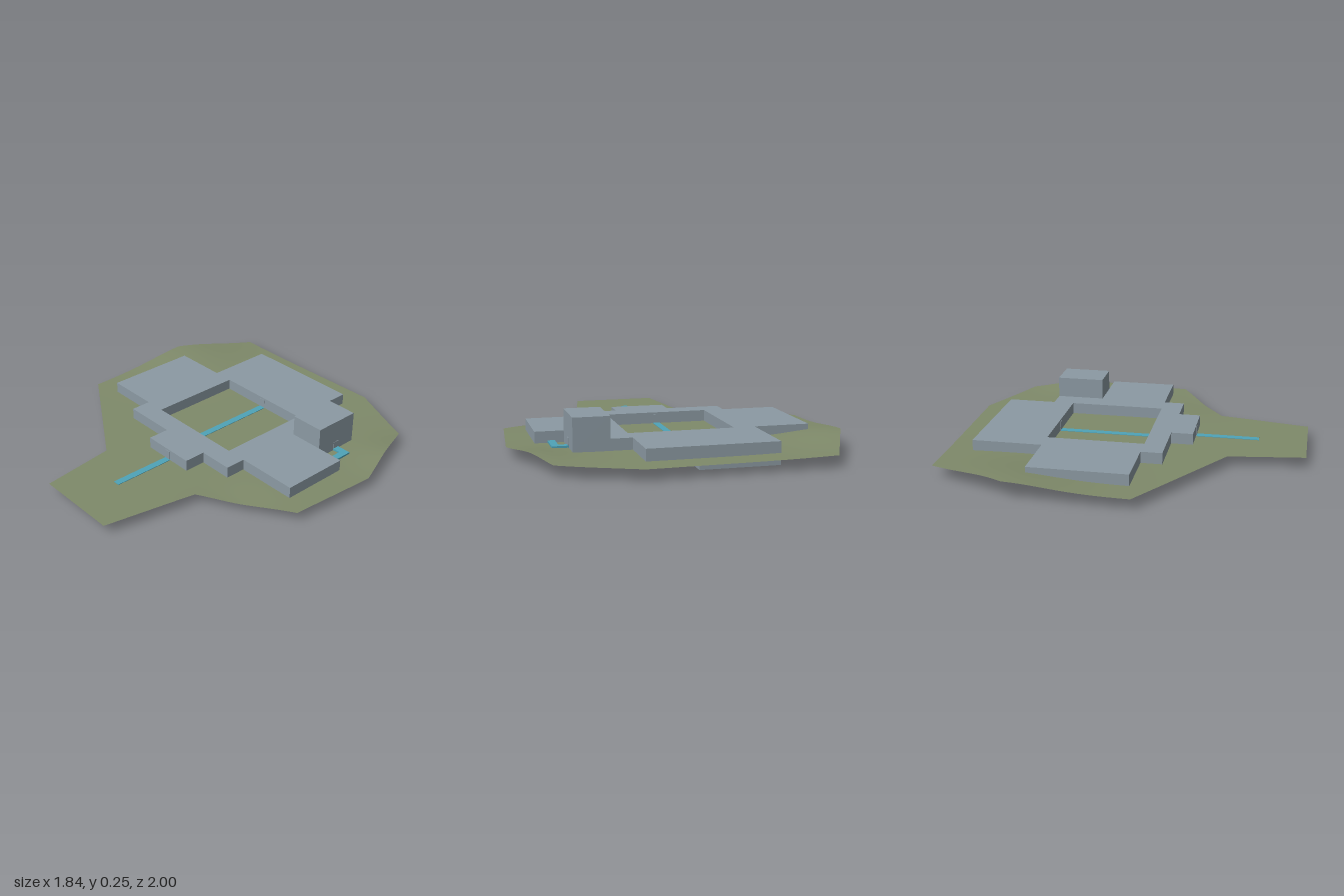
import * as THREE from 'three';

const wall = new THREE.MeshStandardMaterial({ name: 'building grey', color: 0x8c9aa3 });
const grass = new THREE.MeshStandardMaterial({ name: 'terrain green', color: 0x7f8a6a, side: THREE.DoubleSide });
const blue = new THREE.MeshStandardMaterial({ name: 'path blue', color: 0x4fa3b8 });

// Ground height: flat base with soft mounds at the rear corners and a dip at front left
const bump = (x, z, cx, cz, r, h) => h * Math.exp(-((x - cx) ** 2 + (z - cz) ** 2) / (r * r));
const ground = (x, z) => 0.061
  + bump(x, z, -0.9, -0.55, 0.34, 0.045)
  + bump(x, z, 0.84, -0.6, 0.18, 0.022)
  - bump(x, z, 0.62, 0.36, 0.16, 0.012);

// Extrude a plan outline of [x, z] points between two heights
function slab(name, outline, y0, y1, hole) {
  const toPoints = (list) => list.map(([x, z]) => new THREE.Vector2(x, -z));
  const shape = new THREE.Shape(toPoints(outline));
  if (hole) shape.holes.push(new THREE.Path(toPoints(hole)));
  const geo = new THREE.ExtrudeGeometry(shape, { depth: y1 - y0, bevelEnabled: false });
  geo.rotateX(-Math.PI / 2).translate(0, y0, 0);
  const mesh = new THREE.Mesh(geo, wall);
  mesh.name = name;
  return mesh;
}

// Axis-aligned box from its limits
function box(name, mat, x0, x1, y0, y1, z0, z1) {
  const mesh = new THREE.Mesh(new THREE.BoxGeometry(x1 - x0, y1 - y0, z1 - z0), mat);
  mesh.position.set((x0 + x1) / 2, (y0 + y1) / 2, (z0 + z1) / 2);
  mesh.name = name;
  return mesh;
}

// Terrain sheet: rings scaled out from a centre to the plot outline
function terrain() {
  const outline = [[-0.7, -0.98], [-0.92, -0.52], [-0.92, 0.15], [-0.26, 0.57], [-0.2, 1], [0.3, 1],
    [0.4, 0.47], [0.88, 0.18], [0.92, -0.34], [0.74, -0.82], [0.32, -1]];
  const cx = 0.05, cz = 0, steps = 10, rings = 24;
  const rim = [];
  outline.forEach(([x, z], i) => {
    const [nx, nz] = outline[(i + 1) % outline.length];
    for (let k = 0; k < steps; k++) rim.push([x + (nx - x) * k / steps, z + (nz - z) * k / steps]);
  });
  const pos = [], index = [], n = rim.length;
  for (let r = 0; r <= rings; r++) {
    for (const [rx, rz] of rim) {
      const x = cx + (rx - cx) * r / rings, z = cz + (rz - cz) * r / rings;
      pos.push(x, ground(x, z), z);
    }
  }
  for (let r = 0; r < rings; r++) {
    for (let i = 0; i < n; i++) {
      const a = r * n + i, b = r * n + (i + 1) % n, c = a + n, d = b + n;
      index.push(a, c, d);
      if (r > 0) index.push(a, d, b);
    }
  }
  const geo = new THREE.BufferGeometry();
  geo.setAttribute('position', new THREE.Float32BufferAttribute(pos, 3));
  geo.setIndex(index);
  geo.computeVertexNormals();
  const mesh = new THREE.Mesh(geo, grass);
  mesh.name = 'terrain';
  return mesh;
}

export function createModel() {
  const model = new THREE.Group();
  model.name = 'courtyardBuilding';
  model.add(terrain());

  // Main storey around a courtyard
  model.add(slab('mainStorey', [
    [-0.44, -0.84], [-0.44, -0.44], [-0.76, -0.44], [-0.76, 0.115], [-0.44, 0.115], [-0.44, 0.235],
    [-0.12, 0.235], [-0.12, 0.36], [0.2, 0.36], [0.2, 0.235], [0.4, 0.235], [0.4, 0.115],
    [0.76, 0.115], [0.76, -0.28], [0.4, -0.28], [0.4, -0.56], [0.28, -0.56], [0.28, -0.84],
  ], 0.057, 0.126, [[-0.32, -0.44], [0.28, -0.44], [0.28, 0.115], [-0.32, 0.115]]));

  // Taller block and L-shaped basement
  model.add(box('tower', wall, 0.4, 0.6, 0.057, 0.247, -0.56, -0.28));
  model.add(slab('basement', [
    [-0.44, -0.84], [-0.44, -0.44], [0.4, -0.44], [0.4, -0.56], [0, -0.56], [0, -0.84],
  ], 0, 0.058));

  // Paths
  model.add(box('frontPath', blue, 0.02, 0.06, 0.059, 0.064, 0.36, 0.725));
  model.add(box('courtyardPath', blue, -0.04, 0, 0.059, 0.064, -0.44, 0.115));
  model.add(box('sidePathShort', blue, 0.6, 0.65, 0.064, 0.075, -0.44, -0.4));
  model.add(box('sidePathLong', blue, 0.65, 0.69, 0.064, 0.075, -0.44, -0.28));

  // Doors at the path ends
  model.add(box('frontDoor', wall, 0.02, 0.057, 0.06, 0.115, 0.36, 0.363));
  model.add(box('courtyardRearDoor', wall, -0.04, 0, 0.06, 0.115, -0.44, -0.437));
  model.add(box('courtyardFrontDoor', wall, -0.04, 0, 0.06, 0.115, 0.112, 0.115));
  model.add(box('towerDoor', wall, 0.6, 0.603, 0.06, 0.115, -0.44, -0.4));
  return model;
}
